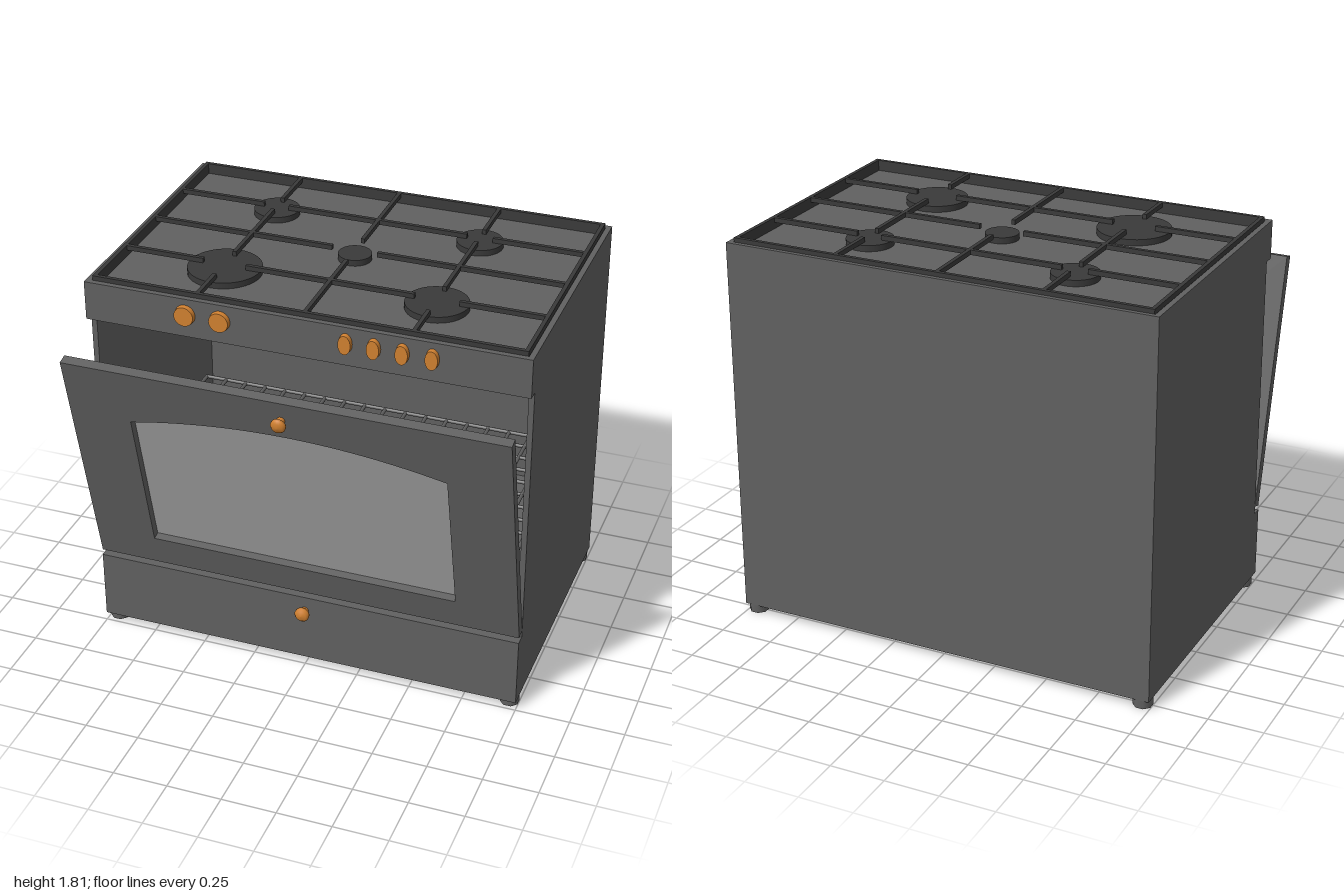
import * as THREE from 'three';

const mat = (color, side = THREE.FrontSide) => new THREE.MeshStandardMaterial({ color, side });

export function createModel() {
  const root = new THREE.Group();
  const steel = mat(0x606060);
  const iron = mat(0x3a3a3a);
  const glass = mat(0xa0a0a0);
  const amber = mat(0xd08030);

  const add = (name, geometry, material, parent = root) => {
    const mesh = new THREE.Mesh(geometry, material);
    mesh.name = name;
    parent.add(mesh);
    return mesh;
  };
  // Box given by its minimum and maximum corners
  const box = (name, x0, x1, y0, y1, z0, z1, material = steel, parent = root) => {
    const m = add(name, new THREE.BoxGeometry(x1 - x0, y1 - y0, z1 - z0), material, parent);
    m.position.set((x0 + x1) / 2, (y0 + y1) / 2, (z0 + z1) / 2);
    return m;
  };

  // Cabinet: base drawer, hollow oven and control panel
  box('drawerBase', -1, 1, 0.04, 0.37, -0.8, 0.5);
  box('controlPanel', -1, 1, 1.61, 1.76, -0.8, 0.5);
  for (const s of [-1, 1]) {
    box('ovenSideWall', Math.min(s, s * 0.975), Math.max(s, s * 0.975), 0.37, 1.61, -0.8, 0.45);
  }
  box('ovenBackWall', -0.975, 0.975, 0.37, 1.61, -0.8, -0.77);
  box('ovenFloor', -0.975, 0.975, 0.37, 0.4, -0.77, 0.45);
  box('ovenCeiling', -0.975, 0.975, 1.585, 1.61, -0.77, 0.45);

  // Feet
  for (const x of [-0.957, 0.957]) {
    for (const z of [-0.757, 0.44]) {
      add('foot', new THREE.CylinderGeometry(0.044, 0.044, 0.04, 8).rotateY(Math.PI / 8), steel)
        .position.set(x, 0.02, z);
    }
  }

  // Raised rim around the sunken hob
  const rect = (P, x0, x1, y0, y1) => {
    const p = new P();
    p.moveTo(x0, y0);
    p.lineTo(x1, y0);
    p.lineTo(x1, y1);
    p.lineTo(x0, y1);
    p.closePath();
    return p;
  };
  const rim = rect(THREE.Shape, -1, 1, -0.5, 0.8);
  rim.holes.push(rect(THREE.Path, -0.975, 0.975, -0.475, 0.78));
  add('hobRim', new THREE.ExtrudeGeometry(rim, { depth: 0.03, bevelEnabled: false }).rotateX(-Math.PI / 2), steel)
    .position.y = 1.76;

  // Burners
  const burners = [[-0.49, -0.47, 0.105], [0.48, -0.47, 0.105], [0, -0.16, 0.075], [-0.49, 0.15, 0.165], [0.48, 0.15, 0.14]];
  for (const [x, z, r] of burners) {
    add('burner', new THREE.CylinderGeometry(r, r, 0.028, 40), iron).position.set(x, 1.774, z);
  }

  // Pan supports: outer frame, then bars broken over each burner
  const grate = new THREE.Group();
  grate.name = 'panSupports';
  root.add(grate);
  const barX = (z, x0, x1, y0 = 1.788) => box('grateBar', x0, x1, y0, 1.81, z - 0.009, z + 0.009, iron, grate);
  const barZ = (x, z0, z1, y0 = 1.788) => box('grateBar', x - 0.009, x + 0.009, y0, 1.81, z0, z1, iron, grate);
  for (const z of [-0.771, 0.463]) barX(z, -0.972, 0.972, 1.76);
  for (const x of [-0.963, 0.963]) barZ(x, -0.77, 0.46, 1.76);
  for (const x of [-0.487, 0.48]) {
    barZ(x, -0.77, -0.53);
    barZ(x, -0.41, 0.05);
    barZ(x, 0.27, 0.46);
  }
  barZ(0, -0.77, -0.26);
  barZ(0, -0.05, 0.46);
  for (const [z, gap] of [[-0.47, 0.06], [0.15, 0.1]]) {
    barX(z, -0.96, -0.49 - gap);
    barX(z, -0.49 + gap, 0.48 - gap);
    barX(z, 0.48 + gap, 0.96);
  }
  barX(-0.16, -0.96, -0.105);
  barX(-0.16, 0.105, 0.96);

  // Control knobs: two round, four narrow
  const knobs = [[-0.53, 0.047], [-0.37, 0.047], [0.195, 0.03], [0.32, 0.03], [0.445, 0.03], [0.575, 0.03]];
  for (const [x, rx] of knobs) {
    const knob = add('controlKnob', new THREE.CylinderGeometry(0.044, 0.047, 0.024, 32).rotateX(Math.PI / 2), amber);
    knob.scale.x = rx / 0.047;
    knob.position.set(x, 1.715, 0.51);
  }

  // Pull knobs share one turned profile
  const profile = [[0.018, 0], [0.018, 0.02], [0.033, 0.027], [0.034, 0.04], [0.024, 0.052], [0, 0.055]]
    .map(([r, y]) => new THREE.Vector2(r, y));
  const pull = new THREE.LatheGeometry(profile, 24).rotateX(Math.PI / 2);
  add('drawerPull', pull, amber).position.set(0, 0.3, 0.5);

  // Wire rack inside the oven
  const rack = new THREE.Group();
  rack.name = 'ovenRack';
  root.add(rack);
  const wire = (length, alongX, x, z) => {
    const g = new THREE.CylinderGeometry(0.009, 0.009, length, 8);
    if (alongX) g.rotateZ(Math.PI / 2); else g.rotateX(Math.PI / 2);
    add('rackWire', g, steel, rack).position.set(x, 0.74, z);
  };
  for (let i = 0; i <= 18; i++) wire(1.0, false, -0.93 + i * 1.86 / 18, -0.1);
  for (let i = 0; i <= 10; i++) wire(1.86, true, 0, -0.6 + i * 0.1);

  // Half-open door, hinged along its lower edge
  const door = new THREE.Group();
  door.name = 'ovenDoor';
  door.position.set(0, 0.395, 0.495);
  door.rotation.x = 0.237;
  root.add(door);
  const arched = (P) => {
    const p = new P();
    p.moveTo(-0.715, 0.155);
    p.lineTo(0.715, 0.155);
    p.lineTo(0.715, 0.89);
    p.quadraticCurveTo(0, 1.064, -0.715, 0.89);
    p.closePath();
    return p;
  };
  const panel = rect(THREE.Shape, -1, 1, 0, 1.173);
  panel.holes.push(arched(THREE.Path));
  add('doorFrame', new THREE.ExtrudeGeometry(panel, { depth: 0.047, bevelEnabled: false, curveSegments: 24 }), steel, door)
    .position.z = -0.047;
  add('doorWindow', new THREE.ExtrudeGeometry(arched(THREE.Shape), { depth: 0.01, bevelEnabled: false, curveSegments: 24 }), glass, door)
    .position.z = -0.047;
  add('doorPull', pull, amber, door).position.set(0, 1.077, 0);

  return root;
}
